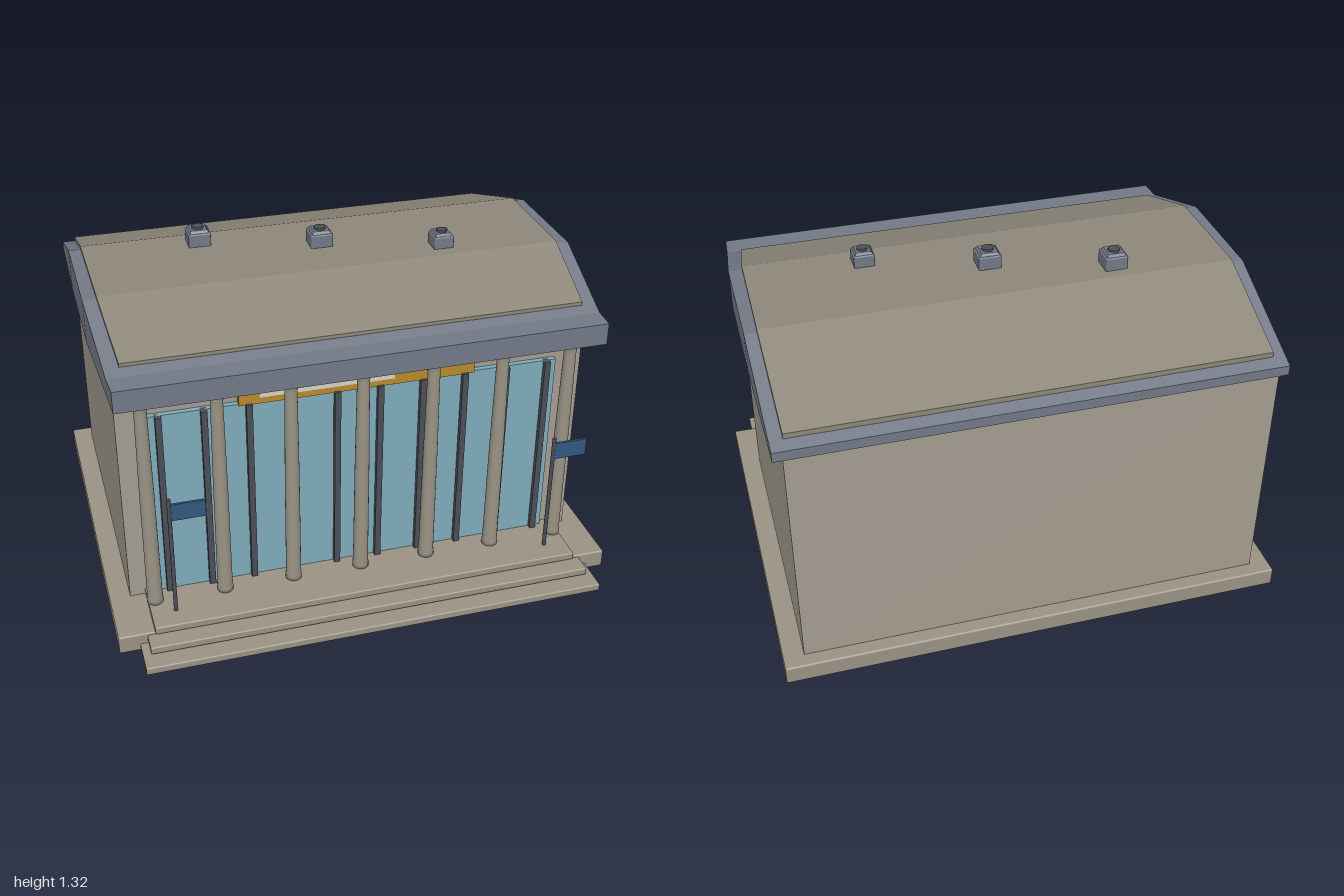
import * as THREE from 'three';
import { RoundedBoxGeometry } from 'three/addons/geometries/RoundedBoxGeometry.js';

const mat = (color, extra = {}) => new THREE.MeshStandardMaterial({ color, ...extra });

export function createModel() {
  const model = new THREE.Group();
  const stone = mat(0x9a9385), wallMat = mat(0xa39d90);
  const roofMat = mat(0x8e887b, { flatShading: true });
  const trim = mat(0x737a87, { flatShading: true });
  const dark = mat(0x4a4f57), glassMat = mat(0x7fabbb);
  const gold = mat(0xb88a2c), pale = mat(0xd6d2c8), blue = mat(0x34587f);

  const add = (name, geometry, material, parent = model) => {
    const mesh = new THREE.Mesh(geometry, material);
    mesh.name = name;
    parent.add(mesh);
    return mesh;
  };
  // Boxes given by their limits on each axis; r rounds the edges
  const box = (name, [x0, x1], [y0, y1], [z0, z1], material, r = 0, parent = model) => {
    const size = [x1 - x0, y1 - y0, z1 - z0];
    const geometry = r ? new RoundedBoxGeometry(...size, 2, r) : new THREE.BoxGeometry(...size);
    const mesh = add(name, geometry, material, parent);
    mesh.position.set((x0 + x1) / 2, (y0 + y1) / 2, (z0 + z1) / 2);
    return mesh;
  };

  // Plinth and front steps
  box('plinth', [-1, 1], [0, 0.077], [-0.835, 0.69], stone, 0.008);
  box('lowerStep', [-0.92, 0.92], [0, 0.032], [0.5, 0.835], stone, 0.006);
  box('upperStep', [-0.89, 0.89], [0.036, 0.068], [0.5, 0.768], stone, 0.006);
  box('porchFloor', [-0.86, 0.86], [0.07, 0.102], [0.44, 0.7], stone, 0.006);

  // Hall: side profile extruded across the width, its top following the roof
  const profile = new THREE.Shape([
    [-0.453, 0.07], [0.777, 0.07], [0.777, 1.03], [0.3, 1.09], [-0.16, 1.09], [-0.453, 1.05],
  ].map(([x, y]) => new THREE.Vector2(x, y)));
  const hall = add('walls', new THREE.ExtrudeGeometry(profile, { depth: 1.84, bevelEnabled: false }), wallMat);
  hall.rotation.y = Math.PI / 2;
  hall.position.x = -0.92;

  // Glazing, mullions and the panel above the entrance
  box('glazing', [-0.805, 0.805], [0.1, 0.897], [0.44, 0.475], glassMat);
  for (let i = 0; i < 10; i++) {
    const x = (i - 4.5) * 0.17;
    box('mullion', [x - 0.012, x + 0.012], [0.1, 0.897], [0.46, 0.495], dark);
  }
  box('entrancePanel', [-0.463, 0.463], [0.893, 1.035], [0.44, 0.483], gold);
  box('panelInset', [-0.385, 0.14], [0.92, 0.997], [0.47, 0.487], pale);

  // Colonnade
  const columnGeo = new THREE.LatheGeometry([
    [0, 0.095], [0.032, 0.095], [0.032, 0.12], [0.03, 0.14], [0.028, 0.6],
    [0.024, 0.96], [0.027, 0.985], [0.031, 1.0], [0.031, 1.035], [0, 1.035],
  ].map(([x, y]) => new THREE.Vector2(x, y)), 20);
  for (let i = -3; i <= 3; i++) {
    add('column', columnGeo, stone).position.set(i * 0.2775, 0, 0.535);
  }

  // Roof bodies: rectangular sections [z, half width, bottom, top] lofted front to back
  const loft = (sections) => {
    const pos = [], index = [];
    for (const [z, w, b, t] of sections) pos.push(-w, b, z, w, b, z, w, t, z, -w, t, z);
    const n = sections.length;
    for (let s = 0; s < n - 1; s++) {
      for (let k = 0; k < 4; k++) {
        const a = s * 4 + k, c = s * 4 + (k + 1) % 4;
        index.push(a, a + 4, c, c, a + 4, c + 4);
      }
    }
    const e = (n - 1) * 4;
    index.push(0, 1, 2, 0, 2, 3, e, e + 2, e + 1, e, e + 3, e + 2);
    const g = new THREE.BufferGeometry();
    g.setAttribute('position', new THREE.Float32BufferAttribute(pos, 3));
    g.setIndex(index);
    const flat = g.toNonIndexed();
    flat.computeVertexNormals();
    return flat;
  };
  add('roofFrame', loft([
    [0.625, 0.936, 1.022, 1.11], [0.53, 0.942, 1.03, 1.11], [0.16, 0.968, 1.067, 1.237],
    [-0.3, 0.968, 1.067, 1.237], [-0.782, 0.957, 1.022, 1.062],
  ]), trim);
  add('roofCovering', loft([
    [0.485, 0.888, 1.09, 1.14], [0.16, 0.915, 1.2, 1.249],
    [-0.3, 0.92, 1.2, 1.249], [-0.735, 0.908, 1.05, 1.1],
  ]), roofMat);

  // Roof vents: box, sloped lid and round cap
  for (const [x, z, w] of [[-0.463, -0.212, 0.09], [0, -0.075, 0.09], [0.46, 0.066, 0.082]]) {
    const vent = new THREE.Group();
    vent.name = 'roofVent';
    vent.position.set(x, 1.245, z);
    model.add(vent);
    const h = w / 2, s = w / 0.09;
    box('ventBox', [-h, h], [0, 0.058 * s], [-h, h], trim, 0.006, vent);
    const lid = add('ventLid', new THREE.CylinderGeometry(0.045 * s, 0.056 * s, 0.012, 4), trim, vent);
    lid.rotation.y = Math.PI / 4;
    lid.position.y = 0.063 * s;
    add('ventCap', new THREE.CylinderGeometry(0.023 * s, 0.025 * s, 0.012, 16), dark, vent).position.y = 0.071 * s;
  }

  // Posts with blue banners beside the steps
  for (const x of [-0.765, 0.765]) {
    const post = add('bannerPost', new THREE.CylinderGeometry(0.008, 0.008, 0.53, 10), dark);
    post.position.set(x, 0.355, 0.613);
    box('banner', [x, x + 0.137], [0.525, 0.597], [0.608, 0.618], blue);
  }
  return model;
}
